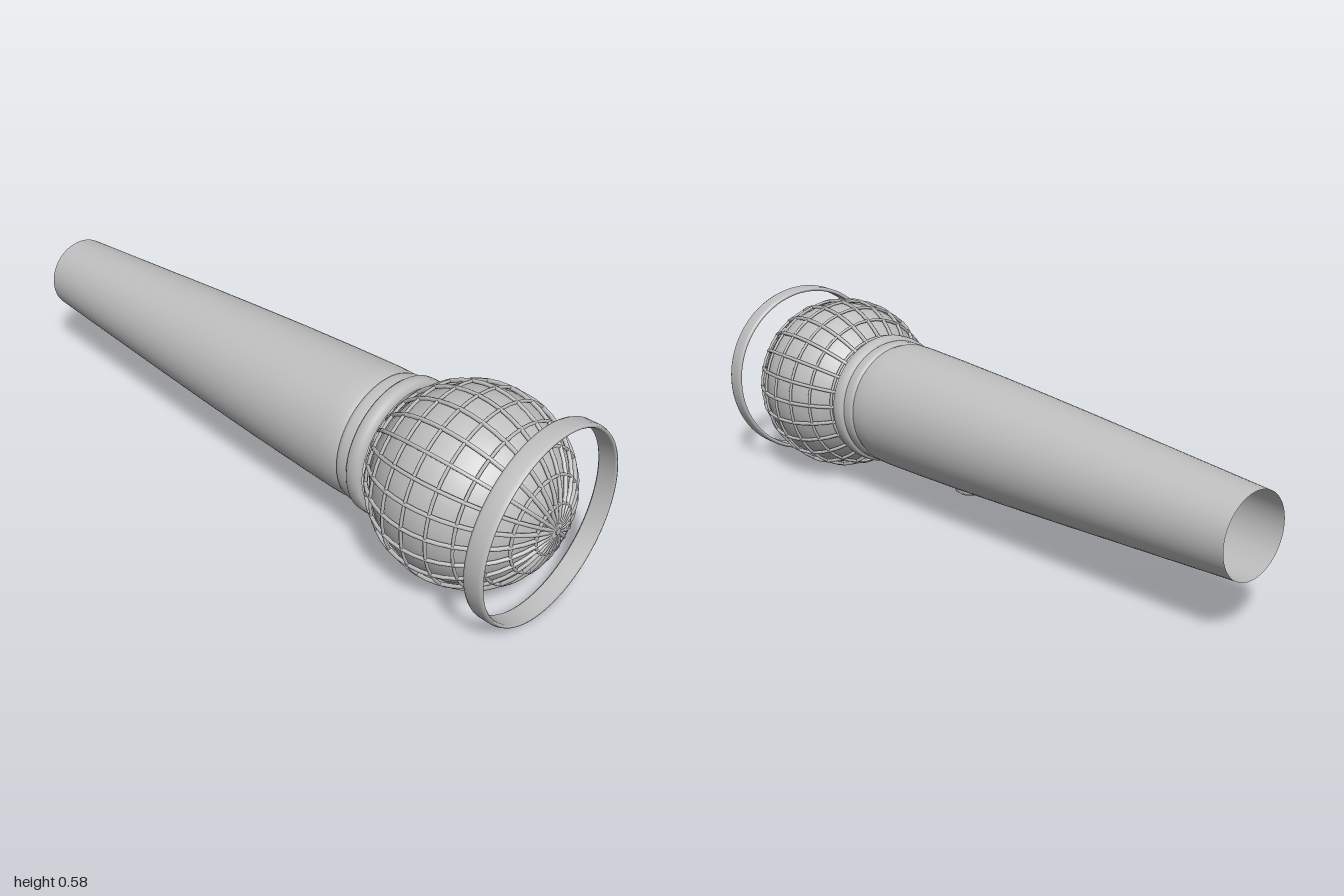
import * as THREE from 'three';

export function createModel() {
  const model = new THREE.Group();
  const metal = new THREE.MeshStandardMaterial({ color: 0xbfbfbf });
  metal.name = 'grey metal';
  metal.side = THREE.DoubleSide;

  const AXIS_Y = 0.288, HEAD_Z = 0.715, WIRE_R = 0.277, WIRE = 0.006;

  function add(name, geometry, parent = model, y = AXIS_Y, z = 0) {
    const mesh = new THREE.Mesh(geometry, metal);
    mesh.name = name;
    mesh.position.set(0, y, z);
    parent.add(mesh);
    return mesh;
  }
  // Turned profile of [radius, z] pairs about the long axis
  const turned = (profile, segments = 64) =>
    new THREE.LatheGeometry(profile.map(([r, z]) => new THREE.Vector2(r, z)), segments).rotateX(Math.PI / 2);

  // Tapered handle, open at the back
  add('handle', turned([[0.12, -1], [0.133, -0.8], [0.146, -0.6], [0.159, -0.4], [0.171, -0.2],
    [0.182, 0], [0.191, 0.2], [0.196, 0.34], [0.196, 0.39], [0.19, 0.41]]));

  // Stepped collar between handle and head
  add('collarStep', turned([[0.188, 0.405], [0.194, 0.41], [0.197, 0.42], [0.197, 0.445], [0.194, 0.452]]));
  add('collarBand', turned([[0.19, 0.449], [0.201, 0.452], [0.207, 0.46], [0.208, 0.475],
    [0.207, 0.49], [0.201, 0.498], [0.188, 0.5]]));

  // Inner ball of the head
  add('headBall', new THREE.SphereGeometry(0.268, 32, 20).rotateX(Math.PI / 2), model, AXIS_Y, HEAD_Z);

  // Wire grille: full hoops through the poles, then rings of latitude
  const grille = new THREE.Group();
  grille.name = 'grille';
  grille.position.set(0, AXIS_Y, HEAD_Z);
  model.add(grille);
  for (let i = 0; i < 12; i++) {
    const hoop = add('grilleHoop', new THREE.TorusGeometry(WIRE_R, WIRE, 6, 48).rotateX(Math.PI / 2), grille, 0, 0);
    hoop.rotation.z = i * Math.PI / 12;
    hoop.rotation.order = 'ZYX';
    hoop.geometry.name = 'hoop';
  }
  for (let i = 1; i < 12; i++) {
    const a = i * Math.PI / 12;
    add('grilleRing', new THREE.TorusGeometry(WIRE_R * Math.sin(a), WIRE * 0.8, 6, 48), grille, 0, WIRE_R * Math.cos(a));
  }
  add('grilleHub', new THREE.CylinderGeometry(0.01, 0.01, 0.012, 16).rotateX(Math.PI / 2), grille, 0, 0.279);

  // Loose flat band around the front of the head
  add('frontBand', turned([[0.275, 0.928], [0.279, 0.924], [0.284, 0.925], [0.288, 0.933], [0.288, 0.972],
    [0.284, 0.982], [0.279, 0.983], [0.275, 0.978], [0.275, 0.928]], 72));

  // Switch button under the handle
  const button = new THREE.Group();
  button.name = 'button';
  button.position.set(0, 0.1, 0.063);
  model.add(button);
  add('buttonBase', new THREE.CylinderGeometry(0.052, 0.048, 0.022, 32), button, 0.004, 0);
  add('buttonCap', new THREE.CylinderGeometry(0.038, 0.034, 0.01, 32), button, -0.011, 0);

  // Tiny stud near the open end
  add('stud', new THREE.SphereGeometry(0.008, 12, 8), model, 0.161, -0.86);

  return model;
}
